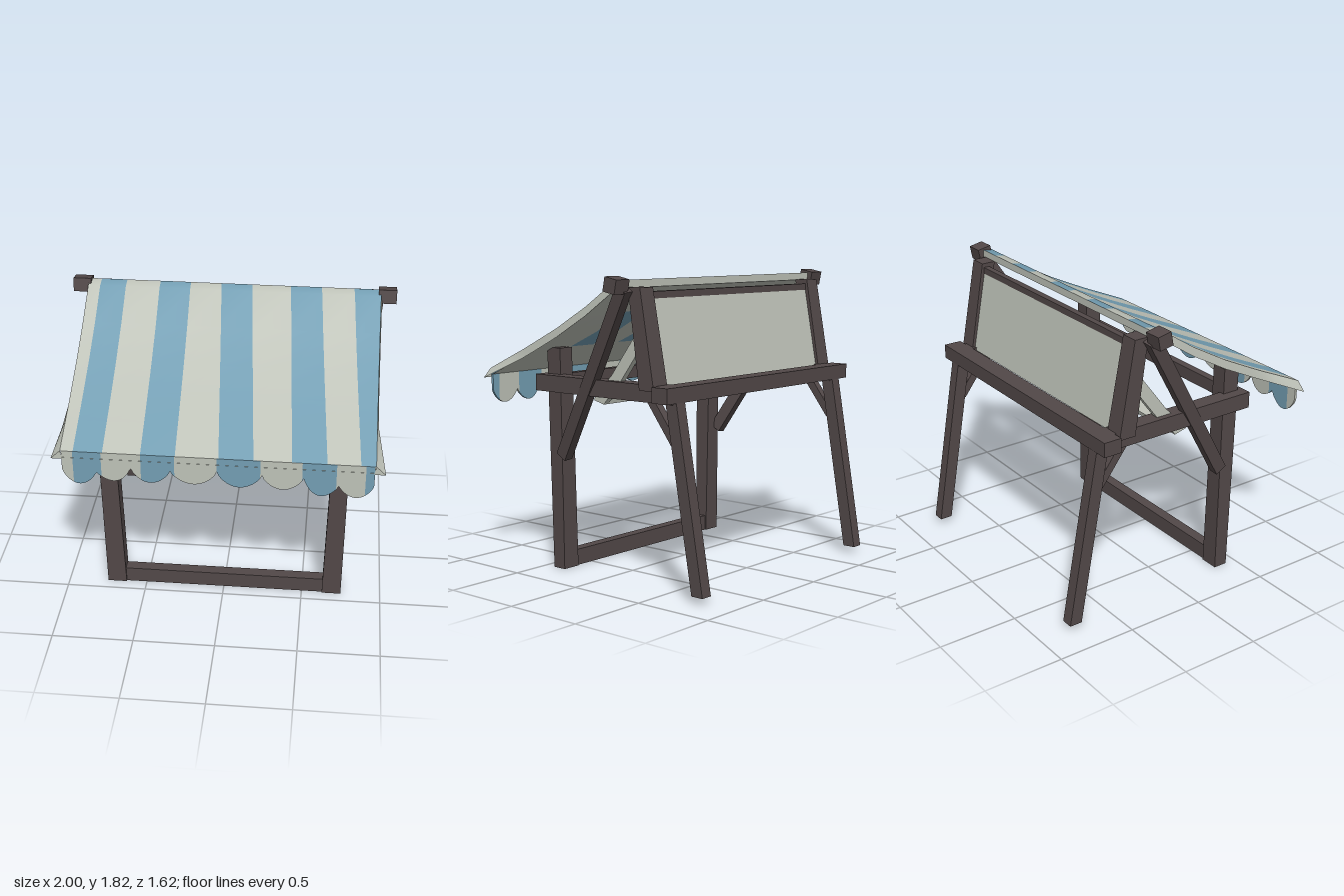
import * as THREE from 'three';

const wood = new THREE.MeshStandardMaterial({ color: 0x524848, name: 'dark wood' });
const cream = new THREE.MeshStandardMaterial({ color: 0xbec2b8, name: 'cream cloth', side: THREE.DoubleSide });
const blue = new THREE.MeshStandardMaterial({ color: 0x739eb3, name: 'blue cloth', side: THREE.DoubleSide });
const V = (x, y, z) => new THREE.Vector3(x, y, z);

// awning slope from ridge to front edge: [z, y]
const slope = [[-0.31, 1.797], [-0.24, 1.785], [-0.02, 1.64], [0.22, 1.505], [0.415, 1.41], [0.52, 1.36], [0.61, 1.32], [0.81, 1.23]];
// stripe borders: [x at the ridge, x at the front edge]
const borders = [[-0.905, -0.905], [-0.83, -0.83], [-0.67, -0.66], [-0.46, -0.44], [-0.27, -0.24], [-0.08, 0.01],
  [0.11, 0.21], [0.35, 0.43], [0.54, 0.63], [0.74, 0.82], [0.905, 0.905]];
// scalloped hem: [notch x, notch y, lowest y of the scallop that follows]
const scallops = [[-0.9, 1.11, 1.01], [-0.7, 1.1, 1.04], [-0.5, 1.14, 1.04], [-0.27, 1.13, 1.045], [0, 1.14, 1.04],
  [0.26, 1.13, 1.04], [0.5, 1.13, 1.01], [0.7, 1.09, 1.01], [0.9, 1.1, 1.1]];
const hemBorders = [-0.9, -0.835, -0.67, -0.44, -0.245, 0, 0.25, 0.49, 0.685, 0.85, 0.9];
const thickness = 0.045;

function add(group, name, geometry, material) {
  const mesh = new THREE.Mesh(geometry, material);
  mesh.name = name;
  group.add(mesh);
  return mesh;
}

// box given by its limits
function block(group, name, x0, x1, y0, y1, z0, z1, material = wood) {
  const mesh = add(group, name, new THREE.BoxGeometry(x1 - x0, y1 - y0, z1 - z0), material);
  mesh.position.set((x0 + x1) / 2, (y0 + y1) / 2, (z0 + z1) / 2);
  return mesh;
}

// leaning post with level ends: centre, width and depth at the bottom and top
function post(group, name, a, b, [wa, da], [wb, db]) {
  const geometry = new THREE.BoxGeometry(1, 1, 1);
  const p = geometry.attributes.position;
  for (let i = 0; i < p.count; i++) {
    const up = p.getY(i) > 0, c = up ? b : a;
    p.setXYZ(i, c.x + p.getX(i) * (up ? wb : wa), c.y, c.z + p.getZ(i) * (up ? db : da));
  }
  geometry.computeVertexNormals();
  return add(group, name, geometry, wood);
}

// square-cut beam between two points lying roughly in a side plane
function beam(group, name, a, b, width, depth, material = wood) {
  const dir = b.clone().sub(a), length = dir.length();
  dir.normalize();
  const side = V(1, 0, 0).addScaledVector(dir, -dir.x).normalize();
  const mesh = add(group, name, new THREE.BoxGeometry(width, length, depth), material);
  mesh.quaternion.setFromRotationMatrix(new THREE.Matrix4().makeBasis(side, dir, side.clone().cross(dir)));
  mesh.position.copy(a).add(b).multiplyScalar(0.5);
  return mesh;
}

// cloth strip between two edge lines
function strip(group, name, left, right, material) {
  const points = left.flatMap((p, i) => [p, right[i]]), index = [];
  for (let i = 0; i < left.length - 1; i++) {
    const k = i * 2;
    index.push(k, k + 2, k + 1, k + 2, k + 3, k + 1);
  }
  const geometry = new THREE.BufferGeometry().setFromPoints(points);
  geometry.setIndex(index);
  geometry.computeVertexNormals();
  return add(group, name, geometry, material);
}

function hemY(x) {
  let i = 0;
  while (i < scallops.length - 2 && x > scallops[i + 1][0]) i++;
  const [x0, y0, low] = scallops[i], [x1, y1] = scallops[i + 1];
  const t = (x - x0) / (x1 - x0), notch = y0 + (y1 - y0) * t;
  return notch - (notch - low) * Math.pow(Math.max(0, Math.sin(Math.PI * t)), 0.65);
}

function createFrame() {
  const frame = new THREE.Group();
  frame.name = 'frame';
  for (const s of [-1, 1]) {
    post(frame, 'frontPost', V(s * 0.69, 0, 0.385), V(s * 0.715, 1.37, 0.395), [0.12, 0.09], [0.1, 0.11]);
    post(frame, 'backLeg', V(s * 0.775, 0.04, -0.77), V(s * 0.775, 1.14, -0.577), [0.075, 0.08], [0.075, 0.08]);
    post(frame, 'upperBackPost', V(s * 0.81, 1.18, -0.45), V(s * 0.81, 1.755, -0.355), [0.12, 0.11], [0.11, 0.09]);
    block(frame, 'sideBeam', s * 0.78 - 0.05, s * 0.78 + 0.05, 1.11, 1.21, -0.6, 0.485);
    beam(frame, 'longBrace', V(s * 0.745, 0.71, 0.335), V(s * 0.895, 1.75, -0.31), 0.06, 0.08);
    beam(frame, 'shortBrace', V(s * 0.775, 0.89, -0.59), V(s * 0.775, 1.14, -0.4), 0.05, 0.05);
    // ridge beam end, slightly turned
    const end = block(frame, 'ridgeEnd', s * 0.945 - 0.055, s * 0.945 + 0.055, 1.725, 1.81, -0.34, -0.25);
    end.rotation.x = -0.2;
  }
  block(frame, 'frontBottomRail', -0.66, 0.66, 0, 0.1, 0.35, 0.42);
  block(frame, 'backBeam', -0.895, 0.895, 1.12, 1.21, -0.625, -0.51);
  block(frame, 'frontBeam', -0.75, 0.75, 1.12, 1.2, 0.43, 0.48);
  block(frame, 'panelTopRail', -0.76, 0.76, 1.69, 1.73, -0.39, -0.35);
  return frame;
}

function createAwning() {
  const awning = new THREE.Group();
  awning.name = 'awning';
  const edge = (k, drop) => slope.map(([z, y]) => {
    const t = (z + 0.31) / 1.12;
    return V(borders[k][0] + (borders[k][1] - borders[k][0]) * t, y - drop, z);
  });
  for (let k = 0; k < 10; k++) {
    const striped = k % 2 ? blue : cream;
    // top cloth, rear edge and lining, with colour showing through part of the lining
    const topA = edge(k, 0), topB = edge(k + 1, 0), a = edge(k + 1, thickness), b = edge(k, thickness);
    strip(awning, 'awningStripe', topA, topB, striped);
    strip(awning, 'awningRearEdge', [topB[0], a[0]], [topA[0], b[0]], cream);
    strip(awning, 'awningLining', a.slice(0, 3), b.slice(0, 3), cream);
    strip(awning, 'awningLining', a.slice(2, 5), b.slice(2, 5), k > 2 && k < 8 ? striped : cream);
    strip(awning, 'awningLining', a.slice(4), b.slice(4), cream);

    // hanging scalloped valance
    const x0 = hemBorders[k], x1 = hemBorders[k + 1], shape = new THREE.Shape();
    shape.moveTo(x1, 1.228);
    shape.lineTo(x0, 1.228);
    for (let i = 0; i <= 24; i++) {
      const x = x0 + (x1 - x0) * i / 24;
      shape.lineTo(x, hemY(x));
    }
    const cloth = add(awning, 'valance', new THREE.ExtrudeGeometry(shape, { depth: 0.015, bevelEnabled: false }), striped);
    cloth.position.z = 0.794;
  }
  // side flaps, flaring out at the front corners
  for (const s of [-1, 1]) {
    const top = slope.map(([z, y]) => V(s * 0.905, y, z));
    const low = slope.map(([z, y]) => V(s * (0.912 + 0.05 * Math.max(0, (z - 0.5) / 0.31)), y - 0.055, z));
    const inner = V(s * 0.895, 1.175, 0.81), corner = low[low.length - 1], peak = top[top.length - 1];
    if (s > 0) {
      strip(awning, 'sideFlap', top, low, cream);
      strip(awning, 'flapCorner', [peak, inner], [peak, corner], cream);
    } else {
      strip(awning, 'sideFlap', low, top, cream);
      strip(awning, 'flapCorner', [peak, corner], [peak, inner], cream);
    }
  }
  return awning;
}

export function createModel() {
  const model = new THREE.Group();
  model.name = 'marketStall';
  model.add(createFrame(), createAwning());

  // back cloth panel between the upper posts
  beam(model, 'backPanel', V(0, 1.19, -0.475), V(0, 1.71, -0.375), 1.52, 0.02, cream);

  // inner cloth bands, sloping down from the back posts to a cross band
  for (const s of [-1, 1]) {
    beam(model, 'innerBand', V(s * 0.775, 1.52, -0.375), V(s * 0.775, 1.2, -0.13), 0.04, 0.075, cream);
    beam(model, 'innerBand', V(s * 0.775, 1.21, -0.135), V(s * 0.775, 1.09, -0.02), 0.04, 0.075, cream);
  }
  const cross = block(model, 'innerCrossBand', -0.795, 0.795, 1.073, 1.1, -0.055, 0.025, cream);
  cross.rotation.x = -0.25;
  return model;
}
